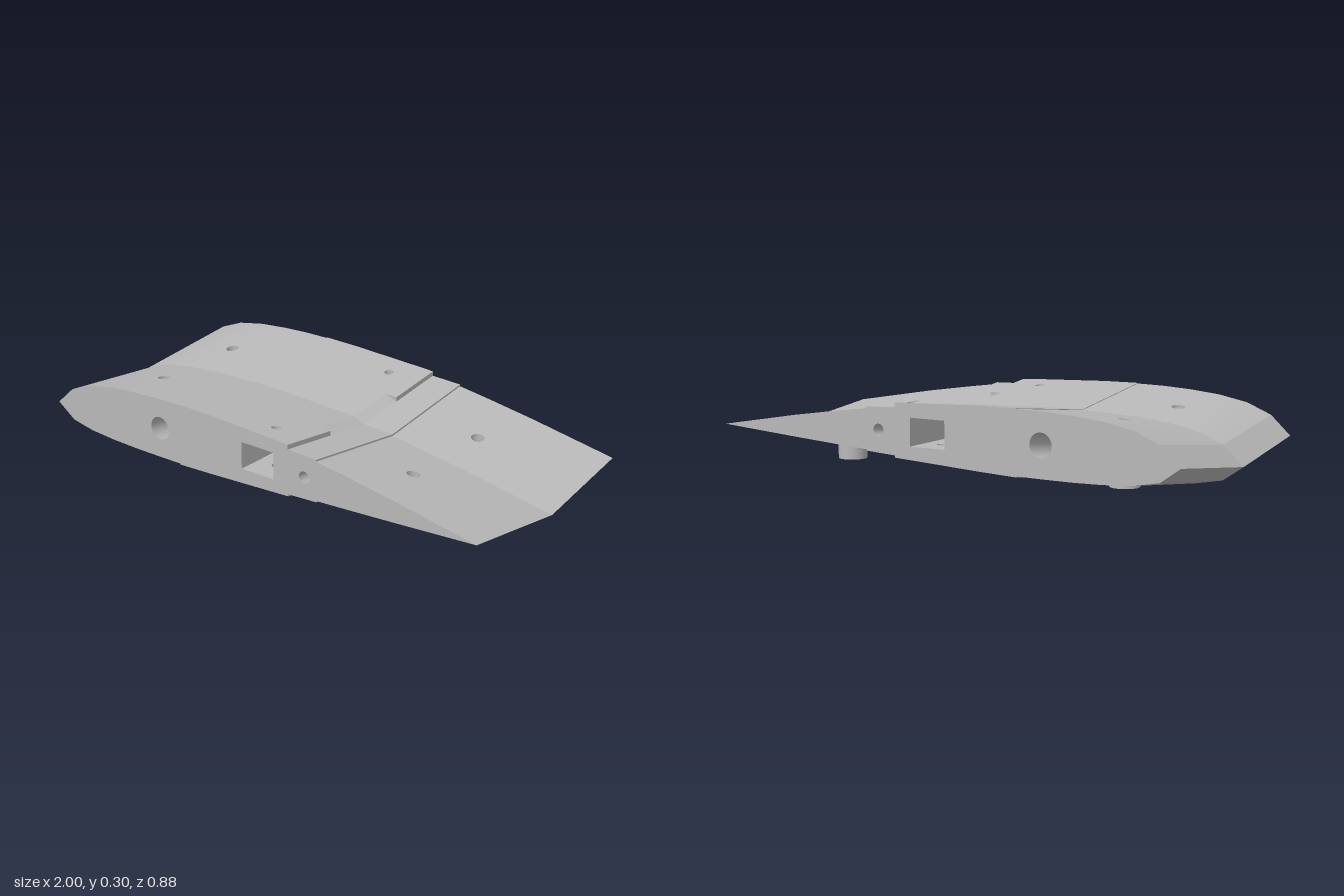
import * as THREE from 'three';
import { mergeGeometries, toCreasedNormals } from 'three/addons/utils/BufferGeometryUtils.js';

const HALF = 0.44, SLOPE = 0.122, STEP_Z = 0.2;
const taper = z => 1 - 0.02 * z / HALF;
const lift = z => SLOPE * z;

// Section stations [x, y] at the centre line; a repeated x makes a step.
const UPPER = {
  front: [[-1, 0.088], [-0.92, 0.16], [-0.82, 0.2], [-0.7, 0.222], [-0.58, 0.233], [-0.46, 0.239], [-0.35, 0.2405],
    [-0.35, 0.243], [-0.2, 0.241], [0, 0.2335], [0.08, 0.2305], [0.13, 0.229]],
  outer: [0.18, 0.226], inner: [0.18, 0.208],
  aft: [[0.31, 0.204], [0.31, 0.197], [0.45, 0.178], [0.65, 0.148], [1, 0.088]],
};
const LOWER = {
  front: [[-1, 0.088], [-0.92, 0.033], [-0.82, 0.014], [-0.7, 0.006], [-0.58, 0.003], [-0.46, 0.003], [-0.35, 0.004],
    [-0.35, 0], [-0.2, 0.006], [0, 0.016], [0.08, 0.02]],
  outer: [0.18, 0.025], inner: [0.18, 0.033],
  aft: [[0.31, 0.04], [0.31, 0.045], [0.45, 0.053], [0.65, 0.065], [1, 0.088]],
};
const POCKET = { x0: -0.04, x1: 0.11, y0: 0.125, y1: 0.23, z: 0.2 };
const BORES = [
  { x: -0.64, z: 0.2, r: 0.025, boss: true },
  { x: 0.55, z: 0.2, r: 0.025, boss: true },
  { x: 0.04, z: 0.34, r: 0.018 },
];
const SPARS = [{ x: -0.44, y: 0.121, r: 0.045 }, { x: 0.25, y: 0.121, r: 0.023 }];
const BOSS_Y = 0.015, BOSS_R = 0.055;

// Height of a surface at a point in plan
function surfaceY(surface, x, z) {
  const u = x / taper(z), pts = [...surface.front, surface.inner, ...surface.aft];
  const i = pts.findIndex((p, k) => k > 0 && p[0] >= u);
  const [a, b] = [pts[i - 1], pts[i]];
  return a[1] + (b[1] - a[1]) * (u - a[0]) / (b[0] - a[0]) + lift(z);
}

// Moves every vertex by a rule
function remap(geo, rule) {
  const p = geo.attributes.position;
  for (let i = 0; i < p.count; i++) p.setXYZ(i, ...rule(p.getX(i), p.getY(i), p.getZ(i)));
  geo.computeVertexNormals();
  return geo;
}

function bare(geo) {
  const g = geo.index ? geo.toNonIndexed() : geo;
  g.deleteAttribute('uv');
  g.deleteAttribute('normal');
  return g;
}

function facet(...points) {
  const g = new THREE.BufferGeometry().setFromPoints(points.map(p => new THREE.Vector3(...p)));
  g.setIndex(points.length === 4 ? [0, 1, 2, 0, 2, 3] : [0, 1, 2]);
  return bare(g);
}

function hole(x, y, r) {
  return new THREE.Path().absarc(x, y, r, 0, Math.PI * 2, true);
}

// Flat panel in plan with round holes, placed by a rule
function panel(x0, x1, z0, z1, holes, rule) {
  const shape = new THREE.Shape([[x0, z0], [x1, z0], [x1, z1], [x0, z1]].map(p => new THREE.Vector2(...p)));
  shape.holes = holes.map(h => hole(h.x, h.z, h.r));
  return bare(remap(new THREE.ShapeGeometry(shape, 14), rule));
}

// Upper or lower skin, one strip between each pair of stations
function skin(surface) {
  const parts = [];
  const at = ([x, y], z) => [x * taper(z), y + lift(z), z];
  const wall = (a, b, z0) => parts.push(facet(at(a, z0), at(b, z0), at(b, HALF), at(a, HALF)));
  const strip = (a, b, z0, z1) => {
    if (a[0] === b[0]) return wall(a, b, z0);
    const holes = BORES.map(h => ({ ...h, x: h.x / taper(h.z) })).filter(h => h.x > a[0] && h.x < b[0]);
    parts.push(panel(a[0], b[0], z0, z1, holes,
      (x, z) => at([x, a[1] + (b[1] - a[1]) * (x - a[0]) / (b[0] - a[0])], z)));
  };
  const { front, outer, inner, aft } = surface, ramp = front[front.length - 1];
  for (let i = 1; i < front.length; i++) strip(front[i - 1], front[i], 0, HALF);
  strip(ramp, inner, 0, STEP_Z);
  strip(ramp, outer, STEP_Z, HALF);
  parts.push(facet(at(ramp, STEP_Z), at(inner, STEP_Z), at(outer, STEP_Z)));
  wall(outer, inner, STEP_Z);
  const rear = [inner, ...aft];
  for (let i = 1; i < rear.length; i++) strip(rear[i - 1], rear[i], 0, HALF);
  return toCreasedNormals(mergeGeometries(parts), 0.3);
}

// End rib face with spar holes and pocket opening
function endFace() {
  const line = s => [...s.front, s.outer, s.inner, ...s.aft];
  const pts = [...line(LOWER), ...line(UPPER).reverse().slice(1, -1)];
  const shape = new THREE.Shape(pts.map(([x, y]) => new THREE.Vector2(x * taper(HALF), y + lift(HALF))));
  const { x0, x1, y0, y1 } = POCKET;
  shape.holes = SPARS.map(s => hole(s.x, s.y + lift(HALF), s.r));
  shape.holes.push(new THREE.Path([[x0, y0], [x0, y1], [x1, y1], [x1, y0]].map(p => new THREE.Vector2(...p))));
  return new THREE.ShapeGeometry(shape, 14).translate(0, 0, HALF);
}

function pocket() {
  const { x0, x1, y0, y1, z } = POCKET;
  const holes = BORES.filter(b => !b.boss);
  const side = x => facet([x, y0, z], [x, y1, z], [x, y1, HALF], [x, y0, HALF]);
  const geo = mergeGeometries([
    ...[y0, y1].map(y => panel(x0, x1, z, HALF, holes, (x, w) => [x, y, w])),
    side(x0), side(x1),
    facet([x0, y0, z], [x1, y0, z], [x1, y1, z], [x0, y1, z]),
  ]);
  geo.computeVertexNormals();
  return geo;
}

// Spar tube following the upward sweep of the panel
function sparTube({ x, y, r }) {
  const geo = new THREE.CylinderGeometry(r, r, HALF, 32, 1, true).rotateX(Math.PI / 2).translate(x, y, HALF / 2);
  return remap(geo, (px, py, pz) => [px, py + lift(pz), pz]);
}

// Upright open tube whose two rims are set by height rules
function uprightTube({ x, z }, r, low, high) {
  const geo = new THREE.CylinderGeometry(r, r, 1, 32, 1, true).translate(x, 0, z);
  return remap(geo, (px, py, pz) => [px, (py > 0 ? high : low)(px, pz), pz]);
}

export function createModel() {
  const model = new THREE.Group();
  model.name = 'wingCentreSection';
  const grey = new THREE.MeshStandardMaterial({ color: 0xb8b8b8, side: THREE.DoubleSide });
  grey.name = 'plain grey';
  const top = (x, z) => surfaceY(UPPER, x, z), bottom = (x, z) => surfaceY(LOWER, x, z);

  const parts = [['upperSkin', skin(UPPER)], ['lowerSkin', skin(LOWER)], ['endFace', endFace()], ['pocket', pocket()]];
  SPARS.forEach(s => parts.push(['sparTube', sparTube(s)]));
  for (const b of BORES) {
    if (b.boss) {
      parts.push(['boltBore', uprightTube(b, b.r, () => BOSS_Y, top)]);
      parts.push(['boss', uprightTube(b, BOSS_R, () => BOSS_Y, bottom)]);
      parts.push(['bossRim', new THREE.RingGeometry(b.r, BOSS_R, 32).rotateX(Math.PI / 2).translate(b.x, BOSS_Y, b.z)]);
    } else {
      parts.push(['screwBoreLower', uprightTube(b, b.r, bottom, () => POCKET.y0)]);
      parts.push(['screwBoreUpper', uprightTube(b, b.r, () => POCKET.y1, top)]);
    }
  }

  // Two mirrored halves meeting at the centre line
  for (const side of [1, -1]) {
    const half = new THREE.Group();
    half.name = side > 0 ? 'frontHalf' : 'backHalf';
    for (const [name, geo] of parts) {
      const mesh = new THREE.Mesh(geo, grey);
      mesh.name = name;
      half.add(mesh);
    }
    half.scale.z = side;
    model.add(half);
  }
  // Skins need normals that agree with their winding, so flip any facing inward
  return model;
}
